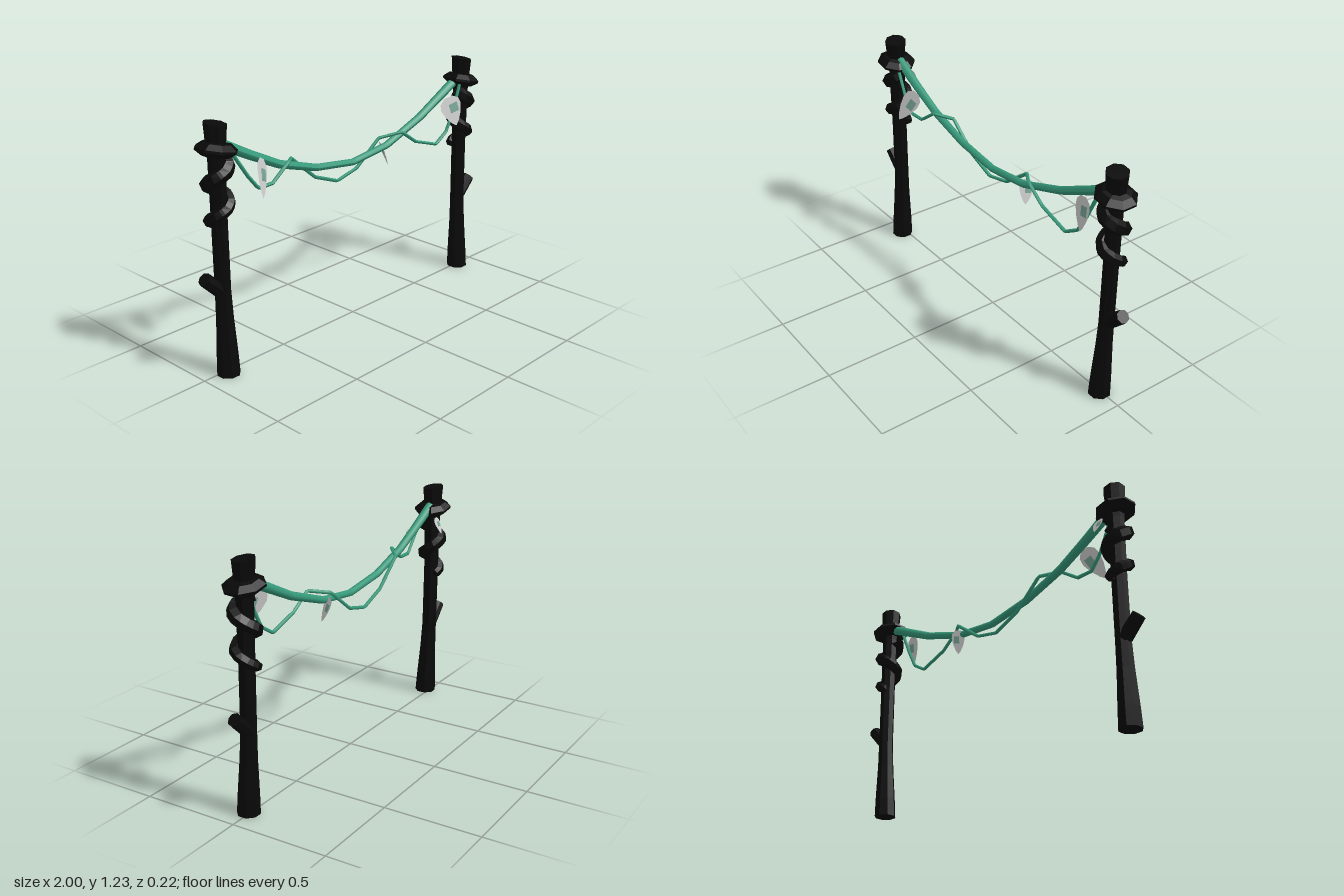
import * as THREE from 'three';

const V = (x, y, z) => new THREE.Vector3(x, y, z);
const bark = new THREE.MeshStandardMaterial({ color: 0x090909, flatShading: true, side: THREE.DoubleSide });
const green = new THREE.MeshStandardMaterial({ color: 0x36997a, side: THREE.DoubleSide });
const leafGrey = new THREE.MeshStandardMaterial({ color: 0xcccccc, side: THREE.DoubleSide });
const leafMark = new THREE.MeshStandardMaterial({ color: 0x76a294 });

function add(parent, name, geometry, material) {
  const mesh = new THREE.Mesh(geometry, material);
  mesh.name = name;
  parent.add(mesh);
  return mesh;
}

// Tube along straight runs between points, with a radius that varies along it
function sweep(points, radius, segments, sides) {
  const curve = new THREE.CatmullRomCurve3(points, false, 'catmullrom', 0);
  const geo = new THREE.TubeGeometry(curve, segments, 1, sides);
  const pos = geo.attributes.position, p = V(0, 0, 0);
  for (let i = 0; i < pos.count; i++) {
    const t = Math.floor(i / (sides + 1)) / segments;
    const c = curve.getPointAt(t);
    p.fromBufferAttribute(pos, i).sub(c).multiplyScalar(radius(t)).add(c);
    pos.setXYZ(i, p.x, p.y, p.z);
  }
  geo.computeVertexNormals();
  return geo;
}

const lathe = (profile, sides) =>
  new THREE.LatheGeometry(profile.map(([r, y]) => new THREE.Vector2(r, y)), sides, Math.PI / 8);

function makePost(s) {
  const post = new THREE.Group();
  post.name = s > 0 ? 'leftPost' : 'rightPost';
  post.position.set(0.873 * s, 0, s > 0 ? -0.012 : 0.006);

  // Trunk: flared foot, slanted top cut
  const trunk = lathe([[0, 0], [0.057, 0], [0.053, 0.1], [0.043, 0.28], [0.039, 0.42], [0.039, 0.75],
    [0.042, 1.05], [0.048, 1.13], [0.055, 1.22], [0, 1.22]], 8);
  const pos = trunk.attributes.position;
  for (let i = 0; i < pos.count; i++) {
    const x = pos.getX(i), y = pos.getY(i), z = pos.getZ(i);
    if (y > 1.2) pos.setY(i, y - 0.14 * x - 0.1 * z);
    pos.setZ(i, z + 0.018 * Math.max(0, 1 - y / 0.5));
  }
  add(post, 'trunk', trunk, bark);

  // Swollen collar below the top
  const collar = add(post, 'collar', lathe([[0.03, -0.035], [0.065, -0.03], [0.1, -0.006], [0.1, 0.006],
    [0.07, 0.03], [0.03, 0.037]], 8), bark);
  collar.position.y = 1.1;
  collar.rotation.z = -0.2;

  // Root winding down the trunk
  const coil = [];
  for (let i = 0; i <= 15; i++) {
    const a = Math.PI - i * Math.PI / 4;
    coil.push(V(s * 0.048 * Math.cos(a), 1.045 - i * 0.0215, 0.05 * Math.sin(a)));
  }
  add(post, 'coiledRoot', sweep(coil, t => t > 0.99 ? 0.001 : 0.036 - 0.012 * t * t, 45, 6), bark);

  // Cut branch stub on the outer side
  const from = V(0.01 * s, 0.425, 0), to = V(0.102 * s, 0.511, 0);
  const stub = add(post, 'branchStub', new THREE.CylinderGeometry(0.033, 0.036, from.distanceTo(to), 8), bark);
  stub.position.lerpVectors(from, to, 0.5);
  stub.quaternion.setFromUnitVectors(V(0, 1, 0), to.clone().sub(from).normalize());
  return post;
}

// Pointed leaf from its base to its tip, with a small coloured mark on both faces
function makeLeaf(base, tip, width, normal) {
  const leaf = new THREE.Group();
  leaf.name = 'leaf';
  const along = tip.clone().sub(base), length = along.length();
  const down = along.normalize();
  const side = V(0, 0, 0).crossVectors(normal, down).normalize();
  const face = V(0, 0, 0).crossVectors(side, down);
  leaf.quaternion.setFromRotationMatrix(new THREE.Matrix4().makeBasis(side, down, face));
  leaf.position.copy(base);

  const h = width / 2;
  const shape = new THREE.Shape([[-0.4, 0], [0.4, 0], [0.9, 0.14], [1, 0.34], [0.75, 0.62], [0.35, 0.87],
    [0, 1], [-0.35, 0.87], [-0.75, 0.62], [-1, 0.34], [-0.9, 0.14]]
    .map(([x, y]) => new THREE.Vector2(x * h, y * length)));
  add(leaf, 'blade', new THREE.ShapeGeometry(shape), leafGrey);
  const mark = add(leaf, 'mark', new THREE.BoxGeometry(width * 0.4, length * 0.3, 0.003), leafMark);
  mark.position.set(h * 0.25, length * 0.4, 0);
  return leaf;
}

export function createModel() {
  const group = new THREE.Group();
  group.name = 'vineBetweenPosts';
  group.add(makePost(1), makePost(-1));

  // Thick sagging vine
  const main = [[-0.85, 1.12, 0.005], [-0.68, 1.03, 0.005], [-0.5, 0.942, 0.004], [-0.26, 0.867, 0.002], [0, 0.833, 0.002],
    [0.25, 0.863, 0], [0.52, 0.957, -0.006], [0.85, 1.115, -0.016]].map(p => V(...p));
  add(group, 'mainVine', sweep(main, t => 0.018 + 0.008 * Math.abs(2 * t - 1) ** 2, 70, 8), green);

  // Thin vine looping around the thick one
  const thin = [[-0.83, 1.11, 0.03], [-0.73, 0.95, 0.045], [-0.67, 0.878, 0.045], [-0.58, 0.878, 0.042], [-0.47, 0.957, 0.038],
    [-0.39, 0.937, -0.034], [-0.23, 0.802, -0.036], [-0.075, 0.743, -0.036], [0.065, 0.776, -0.036],
    [0.23, 0.9, -0.034], [0.33, 0.925, 0.036], [0.44, 0.85, 0.038], [0.61, 0.797, 0.038],
    [0.695, 0.85, 0.038], [0.75, 0.95, 0.038], [0.81, 1.09, 0.03]].map(p => V(...p));
  add(group, 'thinVine', sweep(thin, () => 0.009, 150, 6), green);

  // Hanging leaves
  group.add(
    makeLeaf(V(-0.635, 1.01, 0.035), V(-0.7, 0.85, 0.112), 0.1, V(0.45, 0.25, 0.85)),
    makeLeaf(V(0.715, 1.035, 0.03), V(0.745, 0.88, 0.07), 0.135, V(-0.3, 0.25, 1)),
    makeLeaf(V(0.235, 0.875, -0.03), V(0.265, 0.755, 0.0), 0.07, V(0.8, 0.1, 0.5)),
    makeLeaf(V(-0.815, 1.06, -0.045), V(-0.815, 0.975, -0.083), 0.06, V(0, 0.4, -1)),
  );
  return group;
}
